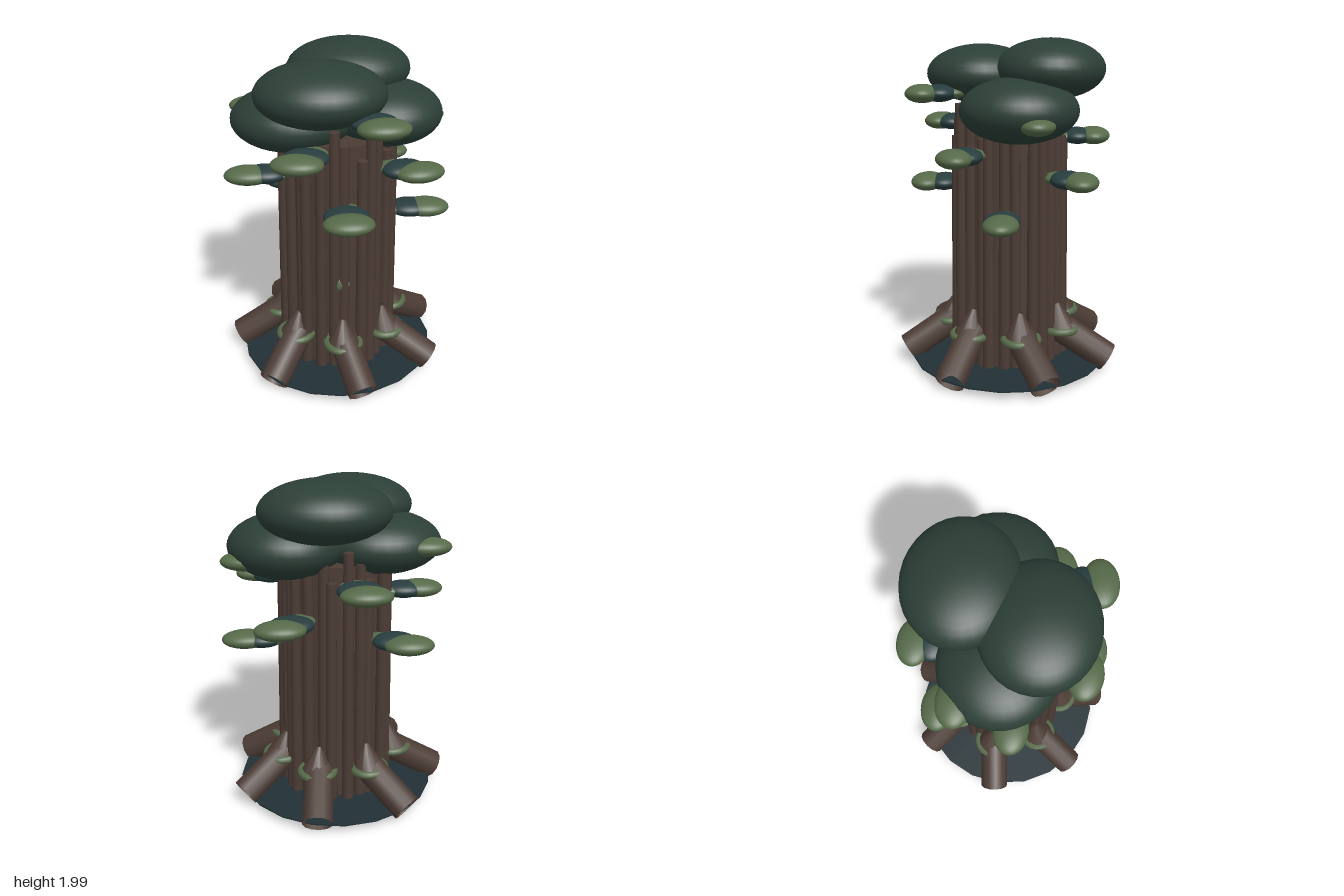
import * as THREE from 'three';

const mat = (name, color, double) => {
  const m = new THREE.MeshStandardMaterial({ color });
  m.name = name;
  if (double) m.side = THREE.DoubleSide;
  return m;
};

export function createModel() {
  const tree = new THREE.Group();
  tree.name = 'giantTree';
  const bark = mat('bark', 0x4c3c35, true);
  const foliage = mat('darkFoliage', 0x2c3f37);
  const shade = mat('tealFoliage', 0x283d3f);
  const moss = mat('moss', 0x566a49);
  const ground = mat('darkGround', 0x223136);

  const add = (name, geometry, material, x = 0, y = 0, z = 0) => {
    const mesh = new THREE.Mesh(geometry, material);
    mesh.name = name;
    mesh.position.set(x, y, z);
    tree.add(mesh);
    return mesh;
  };
  const ball = new THREE.SphereGeometry(1, 32, 20);
  const blob = (name, material, p, s, yaw = 0) => {
    const mesh = add(name, ball, material, ...p);
    mesh.scale.set(...s);
    mesh.rotation.y = yaw;
  };
  // Cylinder running from point a (radius ra) to point b (radius rb)
  const limb = (name, a, b, ra, rb, sides, open, material = bark) => {
    const dir = b.clone().sub(a);
    const mesh = add(name, new THREE.CylinderGeometry(rb, ra, dir.length(), sides, 1, open), material);
    mesh.position.copy(a).add(b).multiplyScalar(0.5);
    mesh.quaternion.setFromUnitVectors(new THREE.Vector3(0, 1, 0), dir.normalize());
  };
  const polar = (angle, r, y) => new THREE.Vector3(Math.cos(angle) * r, y, Math.sin(angle) * r);

  // Ground disc
  add('groundDisc', new THREE.CylinderGeometry(0.61, 0.61, 0.01, 20), ground, 0, 0.064, 0);

  // Trunk core and its bundle of upright ribs
  add('trunkCore', new THREE.CylinderGeometry(0.29, 0.31, 1.45, 32), bark, 0, 0.795, 0);
  const ribCount = 26;
  for (let i = 0; i < ribCount; i++) {
    const angle = (i / ribCount) * Math.PI * 2 + 0.05 * Math.sin(i * 2.3);
    const r = 0.325 + 0.014 * Math.sin(i * 1.7);
    const top = 1.53 + 0.1 * Math.sin(i * 2.1);
    limb('trunkRib', polar(angle, r, 0.08), polar(angle, r - 0.015, top), 0.037, 0.03, 9, false);
  }
  blob('mossPatch', moss, [0, 0.66, 0.315], [0.06, 0.045, 0.025]);
  blob('mossStreak', moss, [-0.03, 1.24, 0.31], [0.012, 0.13, 0.02]);

  // Roots: cone at the trunk, moss collar, and an open hollow tube sloping down
  for (let i = 0; i < 7; i++) {
    const angle = THREE.MathUtils.degToRad(27.5 + (i * 360) / 7);
    const bend = angle + 0.14;
    const knee = polar(bend, 0.36, 0.26);
    limb('rootTube', polar(bend, 0.33, 0.28), polar(angle, 0.635, 0.09), 0.09, 0.09, 12, true);
    limb('rootShoulder', knee, polar(bend, 0.325, 0.42), 0.105, 0.02, 12, true);
    const collar = add('mossCollar', new THREE.TorusGeometry(0.1, 0.023, 8, 20), moss, knee.x, 0.27, knee.z);
    collar.rotation.x = Math.PI / 2;
  }

  // Crown
  const crown = [
    [[-0.1, 1.79, 0.175], [0.37, 0.175, 0.325]],
    [[0.08, 1.825, -0.245], [0.37, 0.175, 0.317]],
    [[0.29, 1.605, -0.08], [0.335, 0.185, 0.335]],
    [[-0.255, 1.6, -0.01], [0.36, 0.18, 0.335]],
  ];
  for (const [p, s] of crown) blob('crownMass', foliage, p, s);

  // Leaf pads: outer, middle and small inner pad in a line towards the trunk
  const pads = [
    [-0.12, 1.42, -0.505, 0], [-0.385, 1.08, -0.365, 0], [-0.49, 1.61, -0.215, 0],
    [0.34, 1.215, -0.43, 0], [0.515, 1.545, -0.19, 0], [0.545, 1.01, 0, 0],
    [0.455, 1.355, 0.265, 0.3], [0.22, 1.69, 0.475, 0.12], [0.04, 1.15, 0.49, 0],
    [-0.235, 1.49, 0.45, -0.1], [-0.52, 1.28, 0.08, 0],
  ];
  for (const [x, y, z, yaw] of pads) {
    const r = Math.hypot(x, z);
    const inward = (d) => [x * (1 - d / r), y, z * (1 - d / r)];
    blob('outerLeafPad', moss, [x, y, z], [0.145, 0.053, 0.1], yaw);
    blob('middleLeafPad', shade, inward(0.1), [0.13, 0.05, 0.1], yaw);
    blob('innerLeafPad', moss, inward(0.18), [0.09, 0.035, 0.075], yaw);
  }
  return tree;
}
